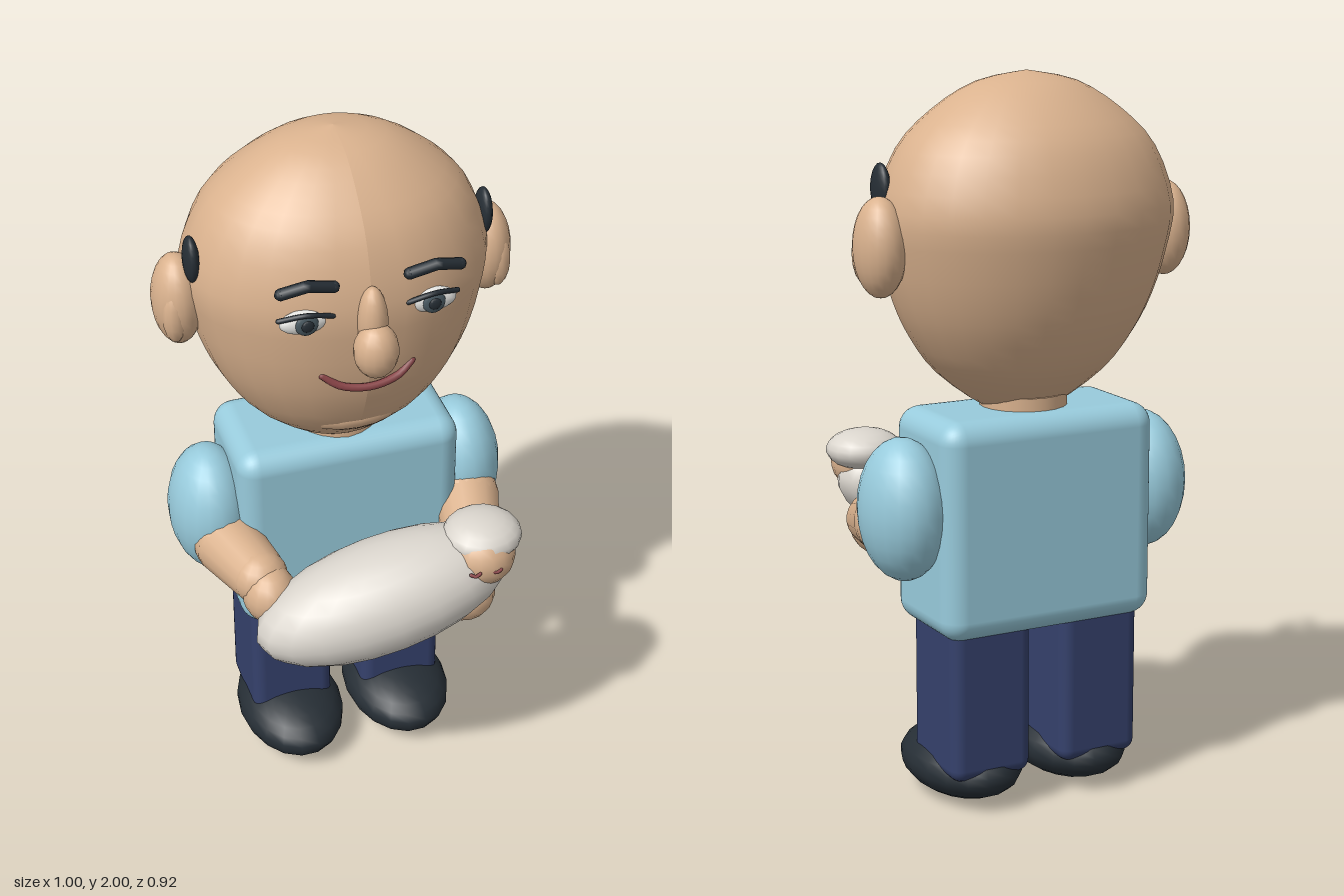
import * as THREE from 'three';
import { RoundedBoxGeometry } from 'three/addons/geometries/RoundedBoxGeometry.js';

const material = (name, color) => {
  const m = new THREE.MeshStandardMaterial({ color });
  m.name = name;
  return m;
};

export function createModel() {
  const skin = material('skin', 0xdab28e);
  const shirt = material('shirt blue', 0x98cbdc);
  const navy = material('trouser navy', 0x35416c);
  const dark = material('shoe and hair black', 0x262e35);
  const cloth = material('blanket grey', 0xdad5cd);
  const white = material('eye white', 0xeeeeea);
  const iris = material('iris grey', 0x4a5a62);
  const lip = material('lip red', 0x8a4548);

  const model = new THREE.Group();
  const V = (p) => new THREE.Vector3(...p);

  const add = (name, geometry, mat, position = [0, 0, 0], parent = model) => {
    const mesh = new THREE.Mesh(geometry, mat);
    mesh.name = name;
    mesh.position.set(...position);
    parent.add(mesh);
    return mesh;
  };
  const blob = (name, mat, position, radii, detail = 20) => {
    const g = new THREE.SphereGeometry(1, detail, Math.round(detail * 0.7));
    g.scale(...radii);
    return add(name, g, mat, position);
  };
  const tube = (name, mat, points, radius, kinked = false) => {
    let curve = new THREE.CatmullRomCurve3(points.map(V));
    if (kinked) {
      curve = new THREE.CurvePath();
      for (let i = 1; i < points.length; i++) {
        curve.add(new THREE.LineCurve3(V(points[i - 1]), V(points[i])));
      }
    }
    const mesh = add(name, new THREE.TubeGeometry(curve, 16, radius, 8), mat);
    for (const p of [points[0], points[points.length - 1]]) {
      blob(name + 'End', mat, p, [radius, radius, radius], 8);
    }
    return mesh;
  };
  // Tapered limb with rounded ends
  const limb = (name, mat, from, to, r0, r1) => {
    const a = V(from), b = V(to);
    const g = new THREE.CylinderGeometry(r1, r0, a.distanceTo(b), 16, 1, true);
    const mesh = add(name, g, mat, a.clone().lerp(b, 0.5).toArray());
    mesh.quaternion.setFromUnitVectors(new THREE.Vector3(0, 1, 0), b.clone().sub(a).normalize());
    blob(name + 'Start', mat, from, [r0, r0, r0], 16);
    blob(name + 'End', mat, to, [r1, r1, r1], 16);
  };

  // Egg-shaped head, flattened in depth, with the jaw set slightly forward
  const profile = new THREE.SplineCurve([
    [0, 1.08], [0.1, 1.1], [0.24, 1.2], [0.317, 1.3], [0.366, 1.4], [0.4, 1.52],
    [0.415, 1.65], [0.36, 1.8], [0.262, 1.9], [0.14, 1.972], [0, 2],
  ].map((p) => new THREE.Vector2(...p)));
  const points = profile.getPoints(30);
  points.forEach((p) => { p.x = Math.max(0, p.x); });
  const headShape = new THREE.LatheGeometry(points, 28);
  headShape.scale(1, 1, 0.785);
  const pos = headShape.attributes.position;
  for (let i = 0; i < pos.count; i++) {
    const forward = Math.max(0, 1.65 - pos.getY(i)) * 0.06;
    pos.setZ(i, pos.getZ(i) - 0.133 + forward);
  }
  headShape.computeVertexNormals();
  add('head', headShape, skin);
  blob('chin', skin, [0, 1.23, -0.02], [0.17, 0.07, 0.125]);
  add('neck', new THREE.CylinderGeometry(0.12, 0.12, 0.14, 20), skin, [0, 1.07, -0.12]);

  // Nose and mouth
  blob('noseBridge', skin, [0, 1.61, 0.195], [0.04, 0.1, 0.045], 16);
  blob('noseTip', skin, [0, 1.54, 0.227], [0.06, 0.078, 0.058], 16);
  tube('mouth', lip, [[-0.122, 1.438, 0.155], [-0.08, 1.408, 0.17], [0, 1.395, 0.18],
    [0.08, 1.408, 0.17], [0.122, 1.438, 0.155]], 0.011);

  // Torso
  add('torso', new RoundedBoxGeometry(0.64, 0.6, 0.34, 4, 0.06), shirt, [0, 0.805, -0.13]);

  for (const s of [-1, 1]) {
    // Ears and side hair
    blob('ear', skin, [s * 0.43, 1.56, -0.135], [0.068, 0.132, 0.087]);
    blob('earFold', skin, [s * 0.45, 1.54, -0.082], [0.033, 0.08, 0.033], 12);
    blob('sideHair', dark, [s * 0.4, 1.705, -0.08], [0.021, 0.067, 0.045], 16);

    // Eyes
    blob('eyeWhite', white, [s * 0.17, 1.622, 0.163], [0.068, 0.034, 0.025], 16);
    blob('iris', iris, [s * 0.17, 1.624, 0.184], [0.031, 0.031, 0.01], 16);
    blob('pupil', dark, [s * 0.17, 1.624, 0.192], [0.017, 0.017, 0.006], 12);
    tube('lash', dark, [[s * 0.1, 1.637, 0.182], [s * 0.17, 1.656, 0.19], [s * 0.24, 1.637, 0.165]], 0.007);
    // Eyebrows
    tube('eyebrow', dark, [[s * 0.1, 1.728, 0.188], [s * 0.17, 1.748, 0.197], [s * 0.238, 1.728, 0.183]], 0.016, true);

    // Sleeves
    blob('sleeve', shirt, [s * 0.37, 0.855, -0.13], [0.117, 0.195, 0.15]);

    // Legs and shoes
    add('leg', new RoundedBoxGeometry(0.24, 0.48, 0.26, 3, 0.035), navy, [s * 0.168, 0.34, -0.138]);
    blob('shoe', dark, [s * 0.167, 0.095, -0.065], [0.154, 0.092, 0.224], 18);
  }

  // Forearms and hands wrapped around the bundle
  limb('leftForearm', skin, [0.36, 0.795, -0.02], [0.31, 0.745, 0.19], 0.095, 0.075);
  blob('leftHand', skin, [0.25, 0.7, 0.265], [0.09, 0.085, 0.09], 16);
  limb('rightForearm', skin, [-0.35, 0.8, -0.02], [-0.305, 0.8, 0.15], 0.095, 0.078);
  blob('rightHand', skin, [-0.29, 0.77, 0.19], [0.075, 0.085, 0.085], 16);

  // Swaddled baby: tilted blanket, head, cap and closed eyes
  blob('blanket', cloth, [0.005, 0.772, 0.293], [0.37, 0.155, 0.168]).rotation.z = 0.21;
  blob('babyHead', skin, [0.275, 0.88, 0.325], [0.093, 0.09, 0.096], 16);
  blob('babyCap', cloth, [0.285, 0.922, 0.298], [0.11, 0.058, 0.105], 16);
  for (const x of [0.225, 0.285]) {
    tube('babyEye', lip, [[x - 0.013, 0.883, 0.414], [x, 0.879, 0.419], [x + 0.013, 0.883, 0.416]], 0.005);
  }

  return model;
}
